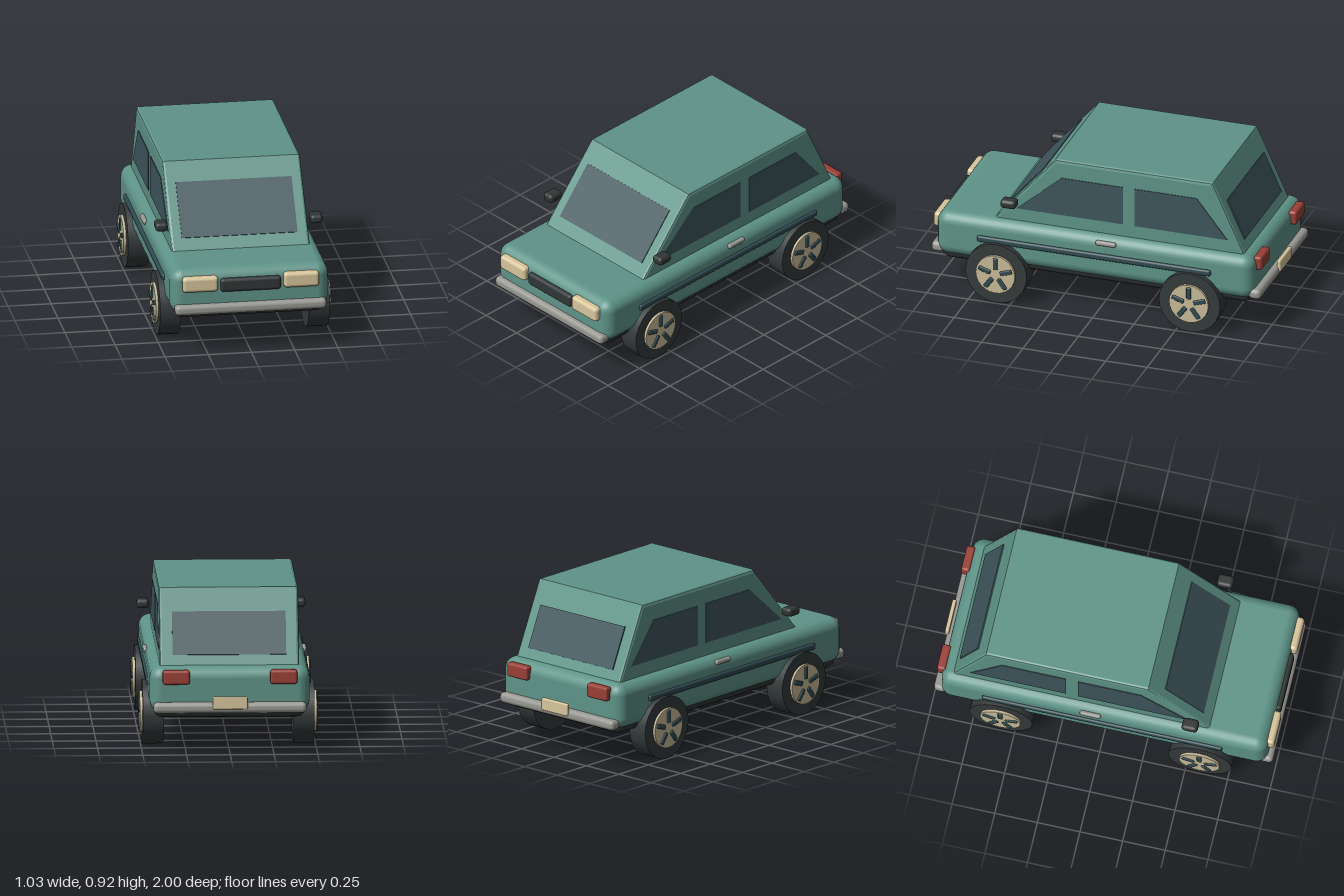
import * as THREE from 'three';
import { RoundedBoxGeometry } from 'three/addons/geometries/RoundedBoxGeometry.js';

const paint = (name, color) => {
  const m = new THREE.MeshStandardMaterial({ color });
  m.name = name;
  return m;
};

export function createModel() {
  const car = new THREE.Group();
  car.name = 'car';
  const teal = paint('teal paint', 0x5f9488);
  const glass = paint('glass', 0x3d555c);
  const black = paint('black plastic', 0x303635);
  const rubber = paint('rubber', 0x343a3a);
  const cream = paint('cream', 0xd8c69c);
  const hubcap = paint('hubcap', 0xc8bb99);
  const chrome = paint('chrome', 0x989893);
  const red = paint('red lamp', 0x9a3f35);
  const trim = paint('dark trim', 0x2f4a50);

  const add = (name, geometry, material, parent = car) => {
    const mesh = new THREE.Mesh(geometry, material);
    mesh.name = name;
    parent.add(mesh);
    return mesh;
  };
  // Rounded box given by its lower and upper limits on each axis
  const block = (name, material, [x0, x1], [y0, y1], [z0, z1], radius, segments = 2) => {
    const mesh = add(name, new RoundedBoxGeometry(x1 - x0, y1 - y0, z1 - z0, segments, radius), material);
    mesh.position.set((x0 + x1) / 2, (y0 + y1) / 2, (z0 + z1) / 2);
    return mesh;
  };
  const outline = (points) => new THREE.Shape(points.map(([z, y]) => new THREE.Vector2(z, y)));
  // Extrude a side profile of (z, y) points across the car
  const across = (points, width, options) => {
    const g = new THREE.ExtrudeGeometry(outline(points), { depth: width, bevelEnabled: false, ...options });
    return g.translate(0, 0, -width / 2).rotateY(-Math.PI / 2);
  };

  // Lower body and underside
  block('body', teal, [-0.457, 0.457], [0.23, 0.5], [-0.95, 0.965], 0.068, 3);
  block('underside', black, [-0.43, 0.43], [0.2, 0.32], [-0.925, 0.94], 0.045);

  // Cabin with softened edges
  add('cabin', across([[0.654, 0.46], [0.26, 0.92], [-0.69, 0.92], [-0.898, 0.46]], 0.77,
    { bevelEnabled: true, bevelThickness: 0.014, bevelSize: 0.02, bevelOffset: -0.02, bevelSegments: 2 }), teal);

  // Sloping windscreen and rear window
  const slopedWindow = (name, width, [zLow, yLow], [zHigh, yHigh]) => {
    const pane = add(name, new THREE.BoxGeometry(width, Math.hypot(zHigh - zLow, yHigh - yLow), 0.008), glass);
    pane.position.set(0, (yLow + yHigh) / 2, (zLow + zHigh) / 2);
    pane.rotation.x = Math.atan2(zHigh - zLow, yHigh - yLow);
  };
  slopedWindow('windscreen', 0.67, [0.57, 0.56], [0.347, 0.82]);
  slopedWindow('rearWindow', 0.65, [-0.858, 0.556], [-0.753, 0.79]);

  // Side windows
  const frontPane = [[0.49, 0.575], [0.22, 0.81], [-0.15, 0.81], [-0.15, 0.575]];
  const rearPane = [[-0.22, 0.575], [-0.22, 0.81], [-0.595, 0.81], [-0.78, 0.575]];

  // Wheel facing +x, with five dark slots on the hubcap
  const makeWheel = (name) => {
    const wheel = new THREE.Group();
    wheel.name = name;
    add('tyre', new THREE.CylinderGeometry(0.185, 0.185, 0.12, 24).rotateZ(-Math.PI / 2), rubber, wheel);
    const hub = add('hubcap', new THREE.CylinderGeometry(0.118, 0.118, 0.03, 24).rotateZ(-Math.PI / 2), hubcap, wheel);
    hub.position.x = 0.06;
    for (let i = 0; i < 5; i++) {
      const slot = new RoundedBoxGeometry(0.02, 0.075, 0.028, 1, 0.007);
      slot.translate(0.073, 0.068, 0).rotateX((i * Math.PI * 2) / 5);
      add('hubcapSlot', slot, trim, wheel);
    }
    return wheel;
  };

  for (const side of [1, -1]) {
    const label = side > 0 ? 'left' : 'right';
    const span = (a, b) => (side > 0 ? [a, b] : [-b, -a]);

    add(label + 'FrontWindow', across(frontPane, 0.008), glass).position.x = side * 0.399;
    add(label + 'RearWindow', across(rearPane, 0.008), glass).position.x = side * 0.399;

    block(label + 'SideTrim', trim, span(0.44, 0.472), [0.358, 0.396], [-0.7, 0.71], 0.012);
    block(label + 'DoorHandle', chrome, span(0.44, 0.468), [0.446, 0.475], [-0.127, -0.003], 0.012);
    block(label + 'Mirror', black, span(0.412, 0.484), [0.6, 0.652], [0.473, 0.567], 0.02);
    block(label + 'Headlight', cream, span(0.19, 0.395), [0.375, 0.465], [0.94, 0.998], 0.02);
    block(label + 'TailLight', red, span(0.23, 0.385), [0.402, 0.485], [-0.982, -0.93], 0.015);

    for (const [end, z] of [['Front', 0.585], ['Rear', -0.582]]) {
      const wheel = makeWheel(label + end + 'Wheel');
      wheel.position.set(side * 0.431, 0.185, z);
      if (side < 0) wheel.rotation.y = Math.PI;
      car.add(wheel);
    }
  }

  // Grille, bumpers and number plate
  block('grille', black, [-0.175, 0.175], [0.366, 0.446], [0.93, 0.988], 0.018);
  block('frontBumper', chrome, [-0.438, 0.438], [0.236, 0.298], [0.92, 0.998], 0.025);
  block('rearBumper', chrome, [-0.438, 0.438], [0.236, 0.298], [-0.99, -0.915], 0.025);
  block('numberPlate', cream, [-0.1, 0.1], [0.262, 0.335], [-1, -0.976], 0.008);

  return car;
}
